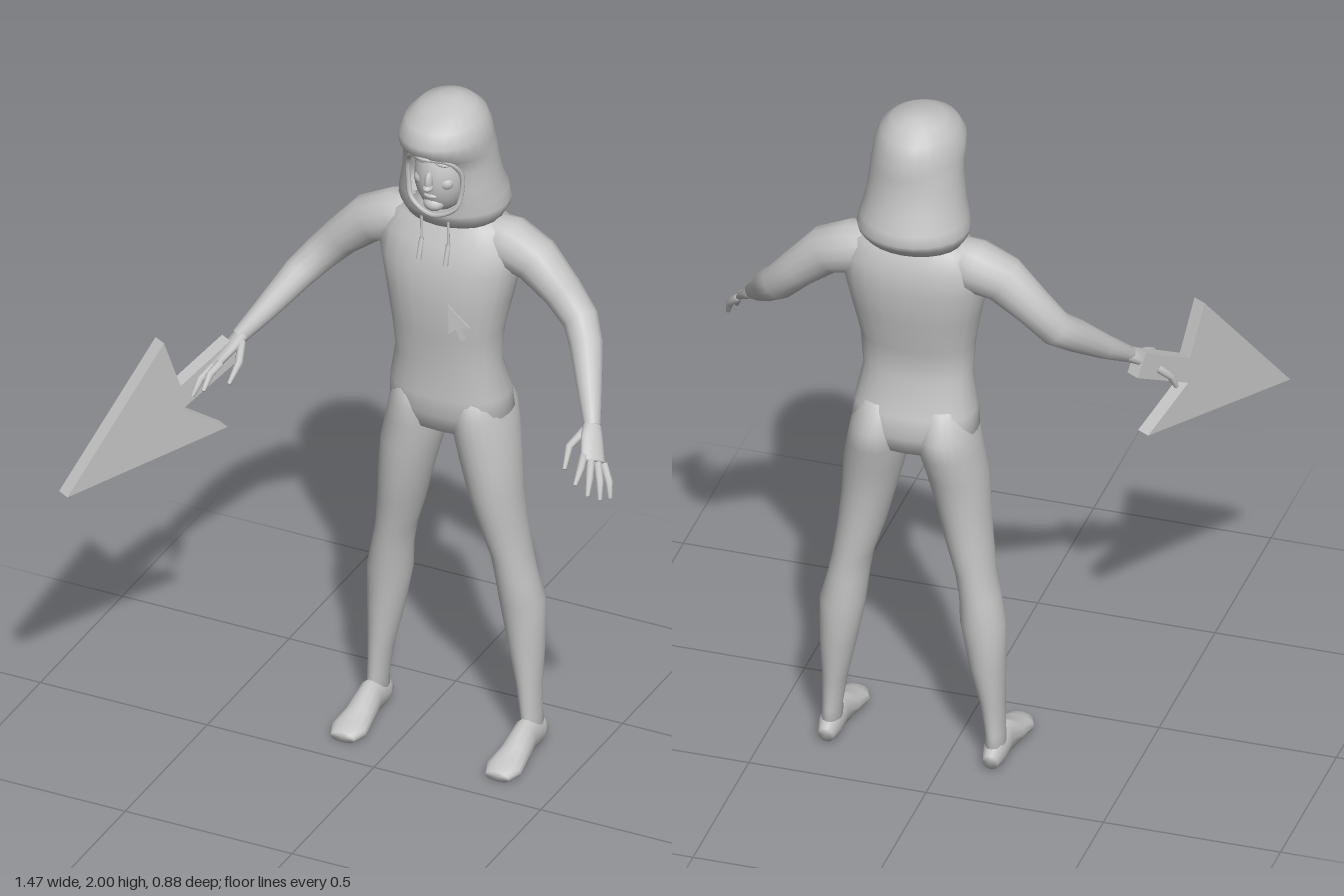
import * as THREE from 'three';
import { mergeVertices } from 'three/addons/utils/BufferGeometryUtils.js';

const CX = 0.098; // body centre line
const V = (x, y, z) => new THREE.Vector3(x, y, z);

// Skin a list of point rings; both ends are closed to their middle
function loft(rings) {
  const n = rings[0].length;
  const mid = r => r.reduce((s, p) => s.add(p), V(0, 0, 0)).divideScalar(n);
  const all = [rings[0].map(() => mid(rings[0])), ...rings, rings[0].map(() => mid(rings[rings.length - 1]))];
  const pos = [], idx = [];
  all.forEach(r => r.forEach(p => pos.push(p.x, p.y, p.z)));
  for (let i = 0; i < all.length - 1; i++) {
    for (let j = 0; j < n - 1; j++) {
      const a = i * n + j, d = a + n;
      if (i > 0) idx.push(a, a + 1, d + 1);
      else idx.push(a, a + n + 1, d);
      if (i > 0 && i < all.length - 2) idx.push(a, d + 1, d);
    }
  }
  const g = new THREE.BufferGeometry();
  g.setAttribute('position', new THREE.Float32BufferAttribute(pos, 3));
  g.setIndex(idx);
  const merged = mergeVertices(g, 1e-5);
  merged.computeVertexNormals();
  return merged;
}

// Horizontal ring; open leaves a gap at the front
function ring(x, y, hw, zf, zb, e = 1, open = 0, n = 24) {
  const pw = v => Math.sign(v) * Math.abs(v) ** e;
  return Array.from({ length: n + 1 }, (_, j) => {
    const a = open + (2 * Math.PI - 2 * open) * j / n;
    return V(x + hw * pw(Math.sin(a)), y, (zf + zb) / 2 + (zf - zb) / 2 * pw(Math.cos(a)));
  });
}

// Limb along a path of [x, y, z, ru, rv]; ru runs along ref
function limb(path, ref, n = 14) {
  const pts = path.map(p => V(p[0], p[1], p[2]));
  return loft(path.map((p, i) => {
    const t = pts[Math.min(i + 1, pts.length - 1)].clone().sub(pts[Math.max(i - 1, 0)]).normalize();
    const u = ref.clone().addScaledVector(t, -ref.dot(t)).normalize();
    const v = t.clone().cross(u);
    return Array.from({ length: n + 1 }, (_, j) => {
      const a = 2 * Math.PI * j / n;
      const q = pts[i].clone().addScaledVector(u, p[3] * Math.cos(a)).addScaledVector(v, (p[4] ?? p[3]) * Math.sin(a));
      q.y = Math.max(q.y, 0);
      return q;
    });
  }));
}

function plate(points, depth) {
  const shape = new THREE.Shape(points.map(p => new THREE.Vector2(p[0], p[1])));
  return new THREE.ExtrudeGeometry(shape, { depth, bevelEnabled: false }).translate(0, 0, -depth / 2);
}

export function createModel() {
  const model = new THREE.Group();
  const grey = new THREE.MeshStandardMaterial({ color: 0xc4c4c4, side: THREE.DoubleSide });
  grey.name = 'plain grey';
  const add = (name, geometry, parent = model) => {
    const m = new THREE.Mesh(geometry, grey);
    m.name = name;
    parent.add(m);
    return m;
  };

  // Torso: y, half width, front z, back z
  add('torso', loft([
    [0.955, 0.03, -0.23, -0.31], [0.985, 0.14, -0.185, -0.375], [1.04, 0.175, -0.165, -0.395],
    [1.1, 0.17, -0.16, -0.385], [1.2, 0.151, -0.17, -0.345], [1.3, 0.158, -0.15, -0.36],
    [1.4, 0.178, -0.146, -0.385], [1.5, 0.2, -0.147, -0.4], [1.57, 0.2, -0.175, -0.395],
    [1.62, 0.165, -0.2, -0.375], [1.65, 0.1, -0.215, -0.355], [1.72, 0.055, -0.22, -0.33],
  ].map(([y, w, f, b]) => ring(CX, y, w, f, b, 0.85))));

  for (const s of [1, -1]) {
    const side = s > 0 ? 'left' : 'right';
    const X = x => CX + s * x;

    // Leg: y, centre offset, half width, front z, back z
    add(side + 'Leg', loft([
      [0.03, 0.232, 0.03, -0.25, -0.345], [0.1, 0.23, 0.026, -0.25, -0.34], [0.2, 0.222, 0.034, -0.25, -0.345],
      [0.32, 0.21, 0.05, -0.245, -0.365], [0.45, 0.198, 0.063, -0.238, -0.37], [0.53, 0.185, 0.056, -0.225, -0.36],
      [0.6, 0.172, 0.055, -0.22, -0.36], [0.7, 0.15, 0.065, -0.2, -0.36], [0.8, 0.133, 0.073, -0.18, -0.365],
      [0.9, 0.117, 0.083, -0.172, -0.378], [0.98, 0.1, 0.085, -0.168, -0.402], [1.04, 0.093, 0.08, -0.165, -0.408],
      [1.12, 0.085, 0.06, -0.18, -0.37],
    ].map(([y, x, w, f, b]) => ring(X(x), y, w, f, b))));

    // Foot: flat underneath
    add(side + 'Foot', limb([
      [0.232, 0.03, -0.35, 0.022, 0.026], [0.232, 0.04, -0.315, 0.032, 0.045], [0.232, 0.05, -0.25, 0.033, 0.055],
      [0.232, 0.028, -0.18, 0.043, 0.036], [0.232, 0.018, -0.12, 0.052, 0.024], [0.232, 0.014, -0.08, 0.036, 0.016],
    ].map(([x, ...r]) => [X(x), ...r]), V(1, 0, 0)));

    // Arm from inside the chest to the wrist
    add(side + 'Arm', limb([
      [0.08, 1.585, -0.285, 0.06], [0.17, 1.565, -0.29, 0.075], [0.25, 1.535, -0.285, 0.067],
      [0.33, 1.46, -0.28, 0.055], [0.39, 1.395, -0.268, 0.05], [0.43, 1.35, -0.22, 0.046],
      [0.485, 1.27, -0.13, 0.034], [0.53, 1.21, -0.055, 0.023],
    ].map(([x, ...r]) => [X(x), ...r]), V(0, 0.5, 1)));

    // Hand
    const hand = new THREE.Group();
    hand.name = side + 'Hand';
    model.add(hand);
    const across = V(s * 0.75, -0.4, -0.5);
    add('palm', limb([
      [0.522, 1.22, -0.07, 0.023, 0.02], [0.54, 1.192, -0.03, 0.032, 0.017], [0.57, 1.152, 0.022, 0.036, 0.013],
    ].map(([x, ...r]) => [X(x), ...r]), across), hand);
    const fingers = {
      indexFinger: [[0.545, 1.168, 0.03], [0.556, 1.15, 0.07], [0.557, 1.118, 0.106]],
      middleFinger: [[0.564, 1.157, 0.026], [0.583, 1.13, 0.07], [0.592, 1.09, 0.1]],
      ringFinger: [[0.58, 1.147, 0.018], [0.605, 1.115, 0.052], [0.617, 1.072, 0.075]],
      littleFinger: [[0.592, 1.14, 0.005], [0.622, 1.105, 0.03], [0.633, 1.065, 0.045]],
      thumb: [[0.515, 1.205, -0.04], [0.495, 1.175, 0.015], [0.503, 1.13, 0.06]],
    };
    for (const [name, pts] of Object.entries(fingers)) {
      add(name, limb(pts.map(([x, y, z], i) => [X(x), y, z, [0.012, 0.011, 0.006][i]]), across, 8), hand);
    }

    // Hood cord with a thicker end
    add(side + 'Cord', limb([
      [X(0.04), 1.66, -0.172, 0.004], [X(0.04), 1.59, -0.174, 0.004], [X(0.04), 1.585, -0.172, 0.007],
      [X(0.04), 1.53, -0.155, 0.008],
    ], V(1, 0, 0), 8));
  }

  // Hood: y, half width, front z, back z, opening angle
  const hoodRows = [
    [1.65, 0.07, -0.22, -0.36, 0], [1.63, 0.135, -0.185, -0.4, 0], [1.66, 0.152, -0.165, -0.43, 0],
    [1.68, 0.156, -0.155, -0.44, 0], [1.71, 0.15, -0.15, -0.432, 0.45], [1.76, 0.137, -0.15, -0.41, 0.62],
    [1.82, 0.13, -0.145, -0.396, 0.66], [1.86, 0.127, -0.13, -0.393, 0.48], [1.885, 0.125, -0.098, -0.392, 0],
    [1.92, 0.121, -0.088, -0.385, 0], [1.955, 0.105, -0.115, -0.37, 0], [1.985, 0.075, -0.17, -0.335, 0],
    [2.0, 0.03, -0.235, -0.295, 0],
  ].map(([y, w, f, b, o]) => ring(CX, y, w, f, b, 1, o));
  add('hood', loft(hoodRows));

  // Rolled edge around the face opening
  const edge = hoodRows.slice(3, 9).map(r => r[0]);
  const back = hoodRows.slice(4, 8).map(r => r[r.length - 1]).reverse();
  add('hoodEdge', new THREE.TubeGeometry(new THREE.CatmullRomCurve3([...edge, ...back], true), 48, 0.007, 6, true));

  // Face: name, offset x, y, z, radii
  const head = new THREE.Group();
  head.name = 'head';
  model.add(head);
  for (const [name, x, y, z, rx, ry, rz] of [
    ['face', 0, 1.785, -0.222, 0.076, 0.115, 0.086],
    ['chin', 0, 1.712, -0.168, 0.03, 0.022, 0.028],
    ['nose', 0, 1.793, -0.137, 0.011, 0.03, 0.018],
    ['noseTip', 0, 1.778, -0.13, 0.014, 0.01, 0.018],
    ['lips', 0, 1.745, -0.146, 0.02, 0.008, 0.01],
    ['leftBrow', 0.03, 1.845, -0.16, 0.022, 0.008, 0.014],
    ['rightBrow', -0.03, 1.845, -0.16, 0.022, 0.008, 0.014],
    ['leftCheek', 0.036, 1.785, -0.166, 0.022, 0.02, 0.02],
    ['rightCheek', -0.036, 1.785, -0.166, 0.022, 0.02, 0.02],
  ]) {
    add(name, new THREE.SphereGeometry(1, 20, 14).scale(rx, ry, rz).translate(CX + x, y, z), head);
  }

  // Large flat arrow held in the right hand
  const arrow = add('heldArrow', plate([
    [0, 0.9], [0.521, 0.945], [0.374, 1.05], [0.56, 1.145], [0.53, 1.212], [0.368, 1.125], [0.314, 1.278],
  ], 0.04));
  arrow.position.set(-0.72, 0, 0.43);
  arrow.rotation.y = 1.053;

  // Small raised arrow on the chest
  const badge = add('chestArrow', plate([
    [-0.028, 0.055], [-0.026, -0.033], [-0.007, -0.017], [0.008, -0.052], [0.022, -0.046], [0.007, -0.012], [0.03, -0.01],
  ], 0.009));
  badge.position.set(0.178, 1.36, -0.153);
  badge.rotation.y = 0.27;

  return model;
}
